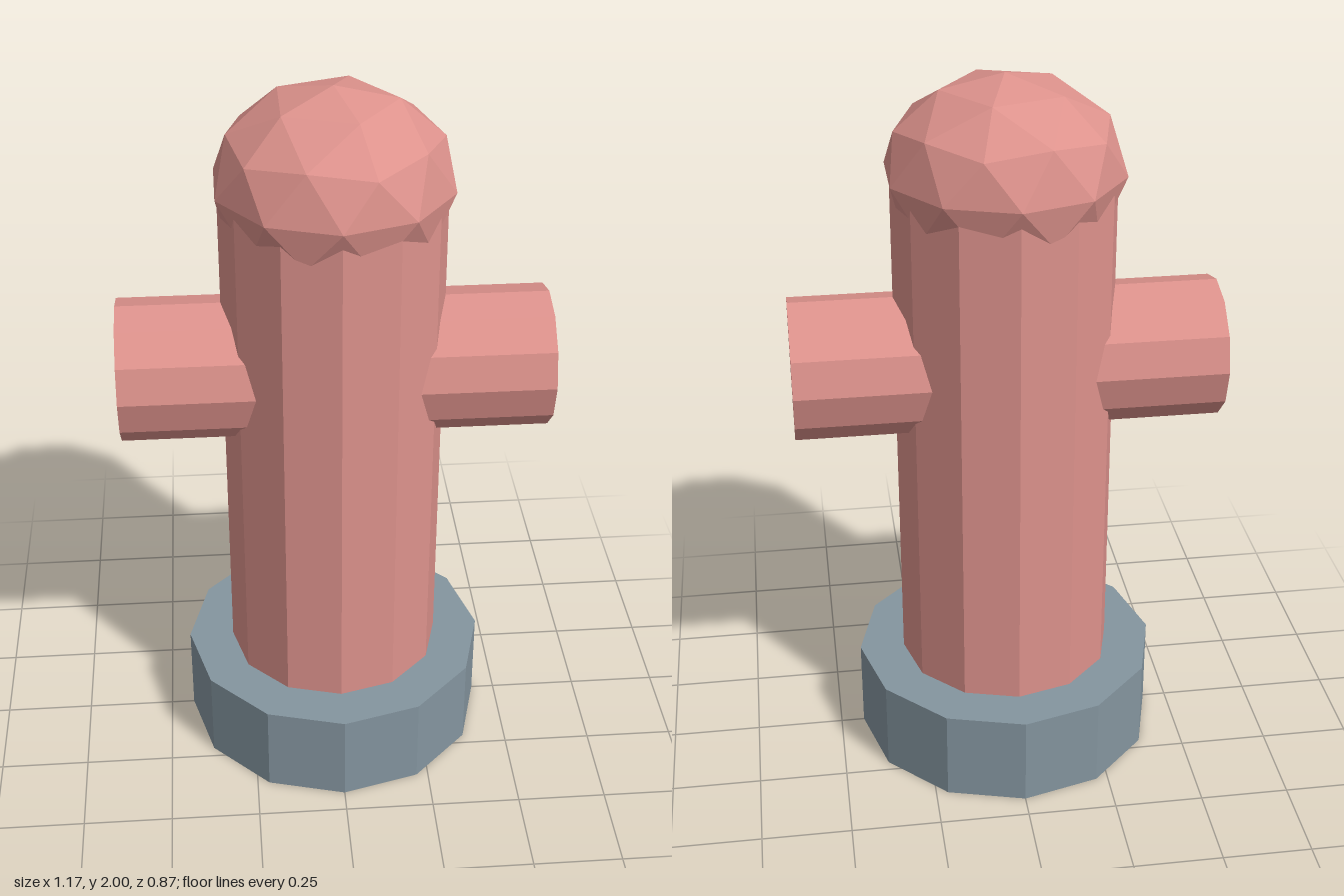
import * as THREE from 'three';

export function createModel() {
  const model = new THREE.Group();
  model.name = 'hydrant';
  const red = new THREE.MeshStandardMaterial({ color: 0xdd928c, flatShading: true });
  red.name = 'faded red';
  const grey = new THREE.MeshStandardMaterial({ color: 0x84959f, flatShading: true });
  grey.name = 'blue grey';

  const add = (name, geometry, material, y) => {
    const mesh = new THREE.Mesh(geometry, material);
    mesh.name = name;
    mesh.position.y = y;
    model.add(mesh);
    return mesh;
  };

  // Twelve-sided foot and barrel
  add('base', new THREE.CylinderGeometry(0.433, 0.433, 0.264, 12), grey, 0.132);
  add('barrel', new THREE.CylinderGeometry(0.304, 0.304, 1.74, 12), red, 0.872);

  // Faceted cap: icosphere turned to stand on a vertex, then flattened
  const cap = new THREE.IcosahedronGeometry(0.325, 1);
  cap.rotateZ(-Math.atan(2 / (1 + Math.sqrt(5))));
  cap.scale(1, 0.8, 1);
  cap.computeVertexNormals();
  add('cap', cap, red, 1.74);

  // Cross pipe forming both side outlets
  const pipe = new THREE.CylinderGeometry(0.195, 0.195, 1.174, 12);
  pipe.rotateZ(Math.PI / 2);
  add('sideOutlets', pipe, red, 1.2);

  return model;
}
